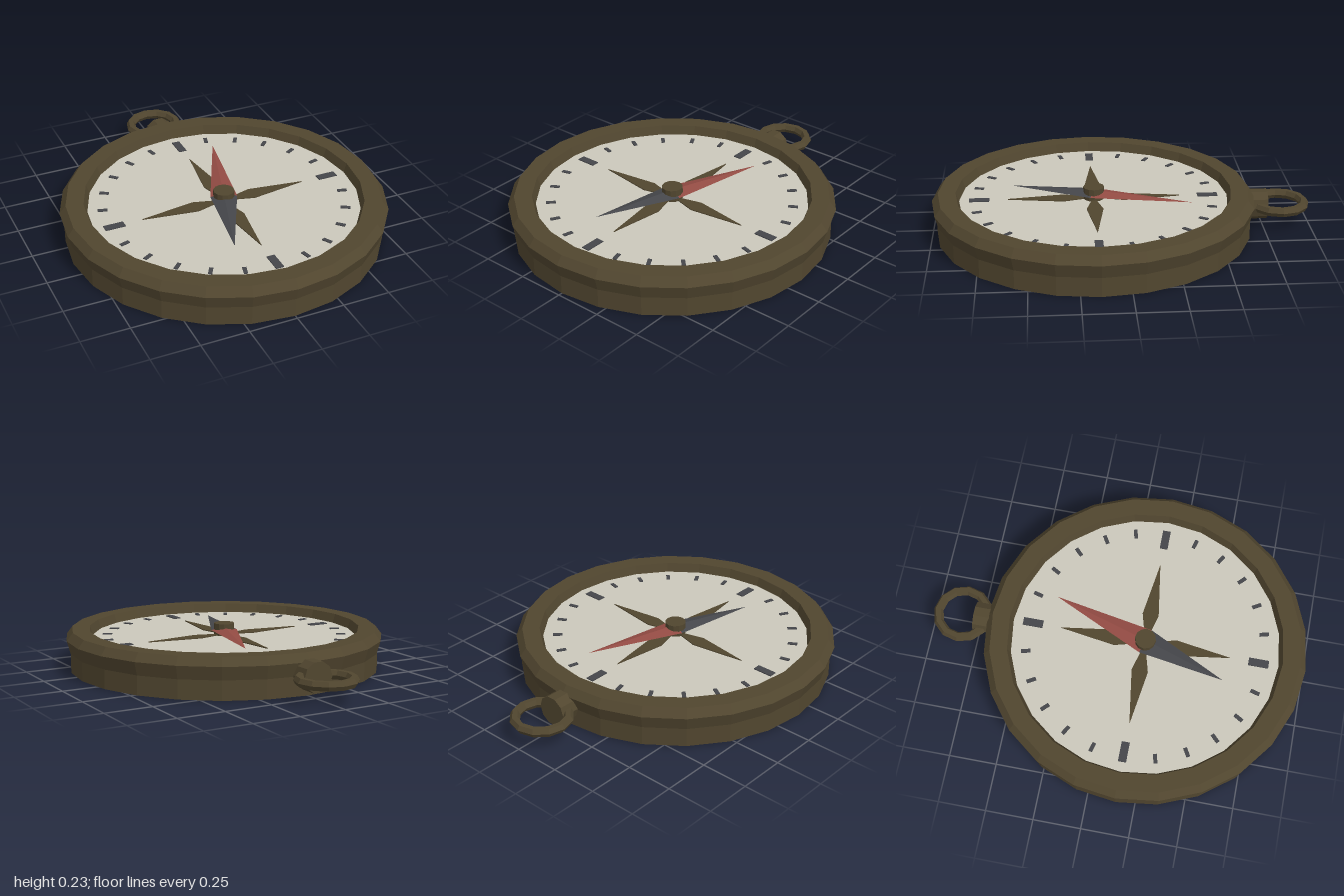
import * as THREE from 'three';

const flat = (name, color) => {
  const m = new THREE.MeshStandardMaterial({ color, flatShading: true });
  m.name = name;
  return m;
};

export function createModel() {
  const brass = flat('dark brass', 0x51462f);
  const ivory = flat('ivory', 0xcbc8bb);
  const slate = flat('slate', 0x45464a);
  const red = flat('dull red', 0x934b43);

  const model = new THREE.Group();
  model.name = 'compass';
  const body = new THREE.Group();
  body.name = 'body';
  body.position.z = 0.15;
  model.add(body);

  const add = (parent, name, geometry, material, x = 0, y = 0, z = 0) => {
    const mesh = new THREE.Mesh(geometry, material);
    mesh.name = name;
    mesh.position.set(x, y, z);
    parent.add(mesh);
    return mesh;
  };

  // Case: flat base, straight wall, flared bezel and sloping inner lip
  const profile = [
    [0, 0], [0.83, 0], [0.83, 0.1], [0.85, 0.17],
    [0.817, 0.213], [0.725, 0.213], [0.703, 0.15],
  ].map(([r, y]) => new THREE.Vector2(r, y));
  add(body, 'case', new THREE.LatheGeometry(profile, 24), brass);

  // Dial
  const dialY = 0.165;
  add(body, 'dial', new THREE.CylinderGeometry(0.708, 0.708, 0.03, 24), ivory, 0, dialY - 0.015);

  // Tick marks every 15 degrees, larger at the four main directions
  for (let i = 0; i < 24; i++) {
    const main = i % 6 === 0;
    const a = (i / 24) * Math.PI * 2;
    const r = main ? 0.603 : 0.63;
    const tick = add(body, main ? 'mainTick' : 'smallTick',
      new THREE.BoxGeometry(main ? 0.042 : 0.02, 0.006, main ? 0.106 : 0.05), slate,
      Math.sin(a) * r, dialY + 0.002, Math.cos(a) * r);
    tick.rotation.y = a;
  }

  // Four kite-shaped rose points
  const kite = new THREE.Shape([[0, 0], [0.043, 0.16], [0, 0.453], [-0.043, 0.16]]
    .map(([x, y]) => new THREE.Vector2(x, y)));
  const kiteGeometry = new THREE.ExtrudeGeometry(kite, { depth: 0.005, bevelEnabled: false });
  kiteGeometry.rotateX(-Math.PI / 2);
  for (let i = 0; i < 4; i++) {
    add(body, 'rosePoint', kiteGeometry, brass, 0, dialY, 0).rotation.y = i * Math.PI / 2;
  }

  // Needle: two flattened four-sided pyramids, base to base
  const needle = new THREE.Group();
  needle.name = 'needle';
  needle.position.y = 0.191;
  needle.rotation.y = -0.307;
  body.add(needle);
  const needleHalf = (name, length, material, turn) => {
    const g = new THREE.ConeGeometry(0.07, length, 4);
    g.translate(0, length / 2, 0);
    g.scale(1, 1, 0.25);
    g.rotateX(-Math.PI / 2);
    add(needle, name, g, material).rotation.y = turn;
  };
  needleHalf('northNeedle', 0.528, red, 0);
  needleHalf('southNeedle', 0.455, slate, Math.PI);

  // Centre pin
  add(body, 'centrePin', new THREE.CylinderGeometry(0.055, 0.055, 0.064, 12), brass, 0, 0.197, 0);

  // Stem and hanging ring at the back
  const stem = new THREE.CylinderGeometry(0.08, 0.08, 0.17, 10);
  stem.rotateY(Math.PI / 2);
  stem.rotateX(Math.PI / 2);
  add(model, 'stem', stem, brass, 0, 0.108, -0.687);

  const ring = new THREE.TorusGeometry(0.134, 0.026, 6, 12);
  ring.rotateX(Math.PI / 2);
  add(model, 'hangingRing', ring, brass, 0, 0.11, -0.84);

  return model;
}
